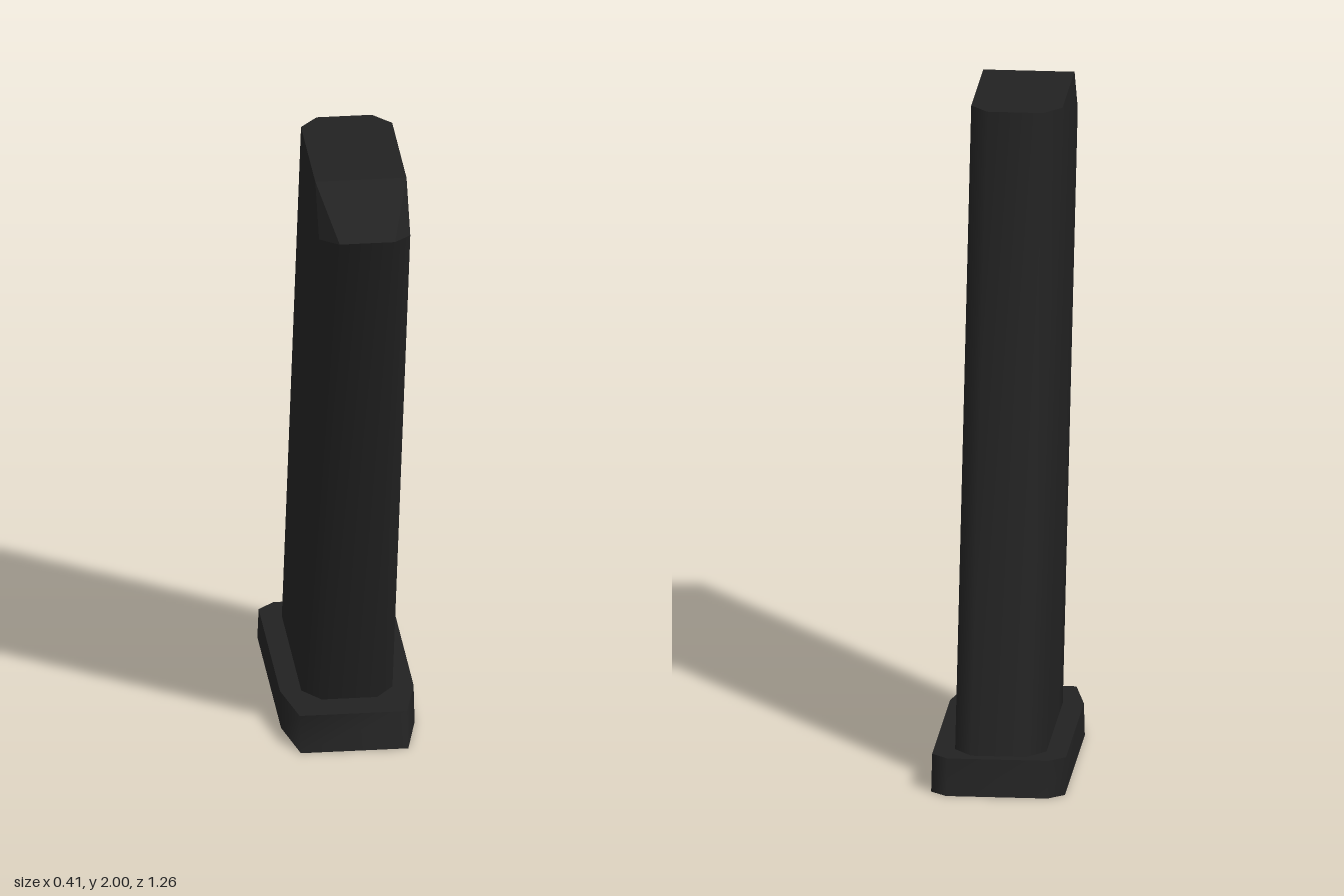
import * as THREE from 'three';

// Mirrors the right half of a ring (front to back) into a full loop, counter-clockwise from above
function ring(half) {
  return [...half, ...half.map(([x, y, z]) => [-x, y, z]).reverse()];
}

// Solid between two rings: smooth wall, flat caps given as corner lists
function loft(bottom, top, topFaces) {
  const n = bottom.length;
  const wall = new THREE.BufferGeometry();
  wall.setAttribute('position', new THREE.Float32BufferAttribute([...bottom, ...top].flat(), 3));
  const index = [];
  for (let i = 0; i < n; i++) {
    const j = (i + 1) % n;
    index.push(i, j, n + j, i, n + j, n + i);
  }
  wall.setIndex(index);
  wall.computeVertexNormals();

  const points = [];
  const fan = (p) => {
    for (let i = 1; i < p.length - 1; i++) points.push(...p[0], ...p[i], ...p[i + 1]);
  };
  topFaces.forEach((face) => fan(face.map((i) => top[i])));
  fan([...bottom].reverse());
  const caps = new THREE.BufferGeometry();
  caps.setAttribute('position', new THREE.Float32BufferAttribute(points, 3));
  caps.computeVertexNormals();
  return [wall, caps];
}

export function createModel() {
  const black = new THREE.MeshStandardMaterial({ color: 0x222222 });
  black.name = 'matte black';

  const model = new THREE.Group();
  model.name = 'magazine';
  const addPart = (name, geometries) => {
    const part = new THREE.Group();
    part.name = name;
    ['Wall', 'Caps'].forEach((suffix, i) => {
      const mesh = new THREE.Mesh(geometries[i], black);
      mesh.name = name + suffix;
      part.add(mesh);
    });
    model.add(part);
  };

  // Leaning body with chamfered corners and a bevelled front lip
  const y = 0.1;
  const bodyBottom = ring([
    [0.085, y, 0.122], [0.14, y, 0.05], [0.14, y, -0.095], [0.14, y, -0.495], [0.085, y, -0.563],
  ]);
  const bodyTop = ring([
    [0.085, 1.87, 0.63], [0.14, 1.855, 0.553], [0.14, 2, 0.447], [0.14, 2, 0.045], [0.085, 2, -0.02],
  ]);
  addPart('body', loft(bodyBottom, bodyTop, [
    [2, 3, 4, 5, 6, 7], // flat top
    [9, 0, 2, 7], // front bevel
    [0, 1, 2], [9, 7, 8], // bevel corners
  ]));

  // Base plate, wider than the body and tapered towards the front
  const baseBottom = ring([[0.165, 0, 0.27], [0.205, 0, 0.08], [0.205, 0, -0.585], [0.155, 0, -0.63]]);
  const baseTop = ring([[0.165, 0.11, 0.237], [0.205, 0.11, 0.05], [0.205, 0.11, -0.55], [0.155, 0.11, -0.597]]);
  addPart('basePlate', loft(baseBottom, baseTop, [[0, 1, 2, 3, 4, 5, 6, 7]]));

  return model;
}
